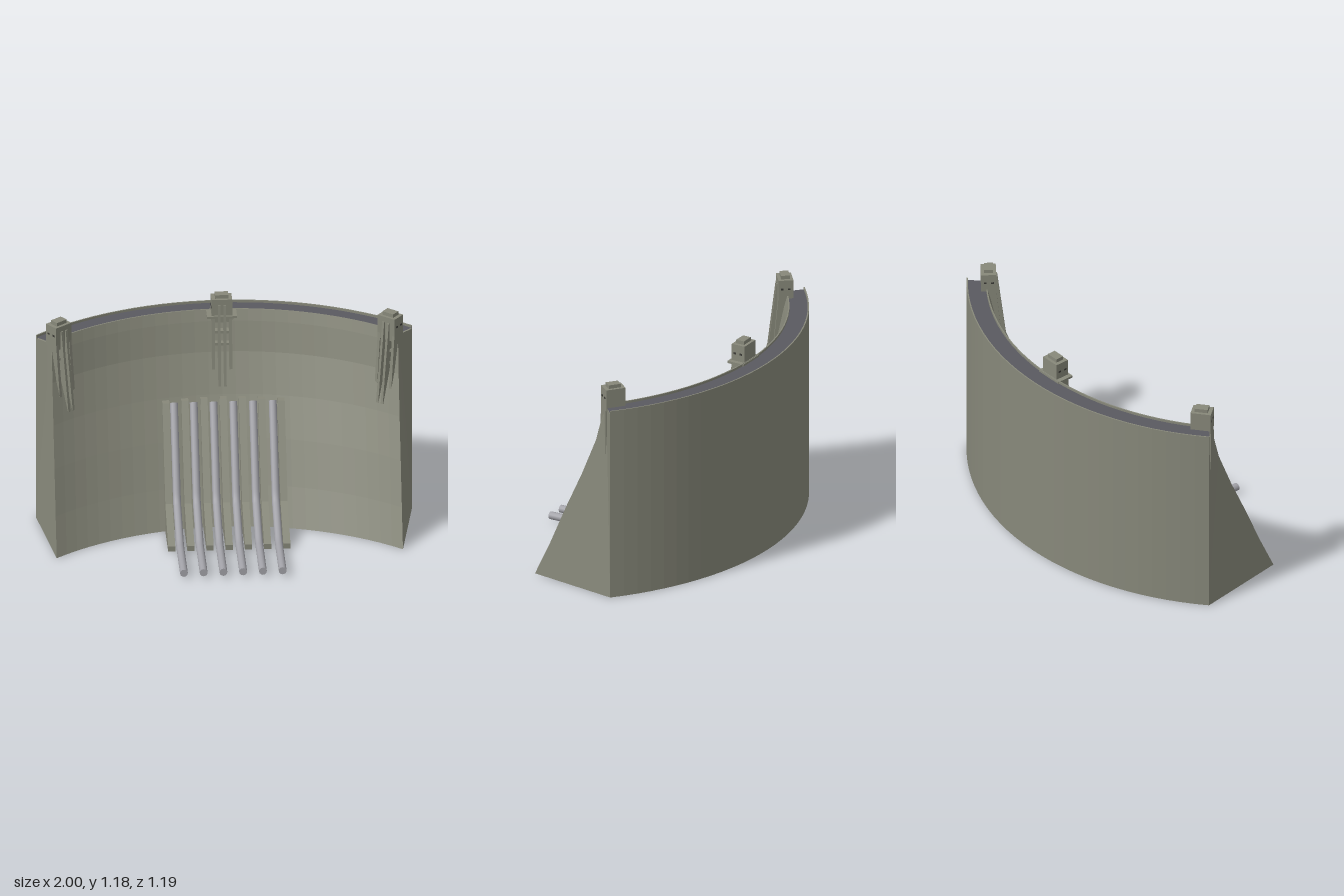
import * as THREE from 'three';

const concrete = new THREE.MeshStandardMaterial({ color: 0x87887a });
const roadGrey = new THREE.MeshStandardMaterial({ color: 0x5a5a60 });
const steel = new THREE.MeshStandardMaterial({ color: 0xa2a2a8 });
const dark = new THREE.MeshStandardMaterial({ color: 0x3a3a36 });

const SEG = 28, TOP = 1.07;
// Upstream lean of the front face: [height, z shift]
const LEAN = [[0, 0], [0.2, -0.095], [0.43, -0.195], [0.64, -0.292], [0.85, -0.378], [1.01, -0.42], [TOP, -0.44]];

function frontPoint(t, y, shift) {
  const a = t * Math.asin(0.92 / 1.43);
  return new THREE.Vector3(1.43 * Math.sin(a), y, 1.39 - 1.43 * Math.cos(a) + shift);
}
function backPoint(t, y) {
  const a = t * Math.asin(1 / 1.52);
  return new THREE.Vector3(1.52 * Math.sin(a), y, 0.926 - 1.52 * Math.cos(a));
}
// Point on the crest, s = 0 at the front edge and 1 at the back edge
function crestPoint(t, s, y) {
  return frontPoint(t, y, -0.44).lerp(backPoint(t, y), s);
}

// Skin a row of cross-sections; closed loops get end caps
function sweep(section, closed) {
  const rows = [];
  for (let i = 0; i <= SEG; i++) rows.push(section(-1 + 2 * i / SEG));
  const n = rows[0].length, pos = [];
  const tri = (...pts) => pts.forEach(p => pos.push(p.x, p.y, p.z));
  for (let i = 0; i < SEG; i++) {
    for (let j = 0; j < (closed ? n : n - 1); j++) {
      const k = (j + 1) % n, a = rows[i], b = rows[i + 1];
      tri(a[j], b[j], b[k]);
      tri(a[j], b[k], a[k]);
    }
  }
  if (closed) {
    const ring = [...rows[SEG]].reverse(), left = [...rows[0]].reverse();
    const flat = ring.map(p => new THREE.Vector2(-p.z, p.y));
    for (const [a, b, c] of THREE.ShapeUtils.triangulateShape(flat, [])) {
      tri(ring[a], ring[b], ring[c]);
      tri(left[a], left[c], left[b]);
    }
  }
  const g = new THREE.BufferGeometry();
  g.setAttribute('position', new THREE.Float32BufferAttribute(pos, 3));
  g.computeVertexNormals();
  return g;
}

function add(parent, name, geometry, material, x = 0, y = 0, z = 0) {
  const m = new THREE.Mesh(geometry, material);
  m.name = name;
  m.position.set(x, y, z);
  parent.add(m);
  return m;
}
const box = (w, h, d) => new THREE.BoxGeometry(w, h, d);

// Upright slab from a side profile of [z, y] points, centred on x
function slab(points, width) {
  const shape = new THREE.Shape(points.map(p => new THREE.Vector2(...p)));
  const g = new THREE.ExtrudeGeometry(shape, { depth: width, bevelEnabled: false });
  return g.translate(0, 0, -width / 2).rotateY(-Math.PI / 2);
}

// Crest tower with tapered fins running down the dam face
function tower(name, x, z, turn, platform) {
  const g = new THREE.Group();
  g.name = name;
  g.position.set(x, 0, z);
  g.rotation.y = turn;
  add(g, 'towerBody', box(0.11, 0.12, 0.08), concrete, 0, 1.1, -0.002);
  add(g, 'towerCap', box(0.07, 0.02, 0.048), concrete, 0, 1.17, -0.002);
  if (platform) add(g, 'platform', box(0.16, 0.012, 0.1), concrete, 0, 1.062, 0);
  for (const side of [-1, 1]) {
    add(g, 'innerFin', slab([[0, 0.68], [0.1, 0.68], [0.044, 1.13], [0, 1.13]], 0.014), concrete, side * 0.015);
    add(g, 'outerFin', slab([[-0.03, 0.765], [0.067, 0.765], [0.038, 1.06], [-0.03, 1.06]], 0.016), concrete, side * 0.046);
    for (const wz of [-0.02, 0.018]) {
      add(g, 'window', box(0.004, 0.01, 0.014), dark, side * 0.055, 1.11, wz);
    }
  }
  for (const y of [0.9, 0.97, 1.035]) add(g, 'crossBar', box(0.1, 0.014, 0.04), concrete, 0, y, 0.018);
  return g;
}

export function createModel() {
  const model = new THREE.Group();
  model.name = 'dam';

  // Curved wall with a shallow trench for the crest road
  add(model, 'damWall', sweep(t => [
    ...LEAN.map(([y, s]) => frontPoint(t, y, s)),
    crestPoint(t, 0.06, TOP), crestPoint(t, 0.06, 1.05),
    crestPoint(t, 0.94, 1.05), crestPoint(t, 0.94, TOP),
    backPoint(t, TOP), backPoint(t, 0),
  ], true), concrete);
  add(model, 'crestRoad', sweep(t => [crestPoint(t, 0.06, 1.057), crestPoint(t, 0.94, 1.057)], false), roadGrey);

  // Towers
  model.add(tower('centreTower', 0, -0.44, 0, true));
  for (const side of [-1, 1]) {
    model.add(tower(side > 0 ? 'leftTower' : 'rightTower', side * 0.88, -0.165, -side * 0.67, false));
  }

  // Piers between the penstocks
  for (let i = -3; i <= 3; i++) {
    const x = i * 0.102;
    const back = frontPoint(x / 0.92, 0, 0).z;
    add(model, 'pier', slab([
      [back - 0.05, 0], [0.25, 0], [0.25, 0.03], [0, 0.16],
      [back - 0.255, 0.63], [back - 0.32, 0.63],
    ], 0.038), concrete, x);
  }

  // Penstock pipes, bent along the piers
  for (let i = 0; i < 6; i++) {
    const x = -0.262 + i * 0.105;
    const path = new THREE.CurvePath();
    const pts = [[0.035, 0.595], [0.035, 0.25], [0.16, -0.015], [0.615, -0.29]]
      .map(([y, z]) => new THREE.Vector3(x, y, z));
    // Rounded elbows joined by straight runs
    let from = pts[0];
    for (const k of [1, 2]) {
      const a = pts[k].clone().lerp(pts[k - 1], 0.1);
      const b = pts[k].clone().lerp(pts[k + 1], 0.1);
      path.add(new THREE.LineCurve3(from, a));
      path.add(new THREE.QuadraticBezierCurve3(a, pts[k], b));
      from = b;
    }
    path.add(new THREE.LineCurve3(from, pts[3]));
    add(model, 'penstock', new THREE.TubeGeometry(path, 60, 0.021, 12, false), steel);
    add(model, 'pipeMouth', new THREE.CircleGeometry(0.021, 12), steel, x, 0.035, 0.595);
    const end = add(model, 'pipeTop', new THREE.CircleGeometry(0.021, 12), steel, x, 0.615, -0.29);
    end.rotation.x = -Math.atan2(0.455, -0.275);
  }
  return model;
}
